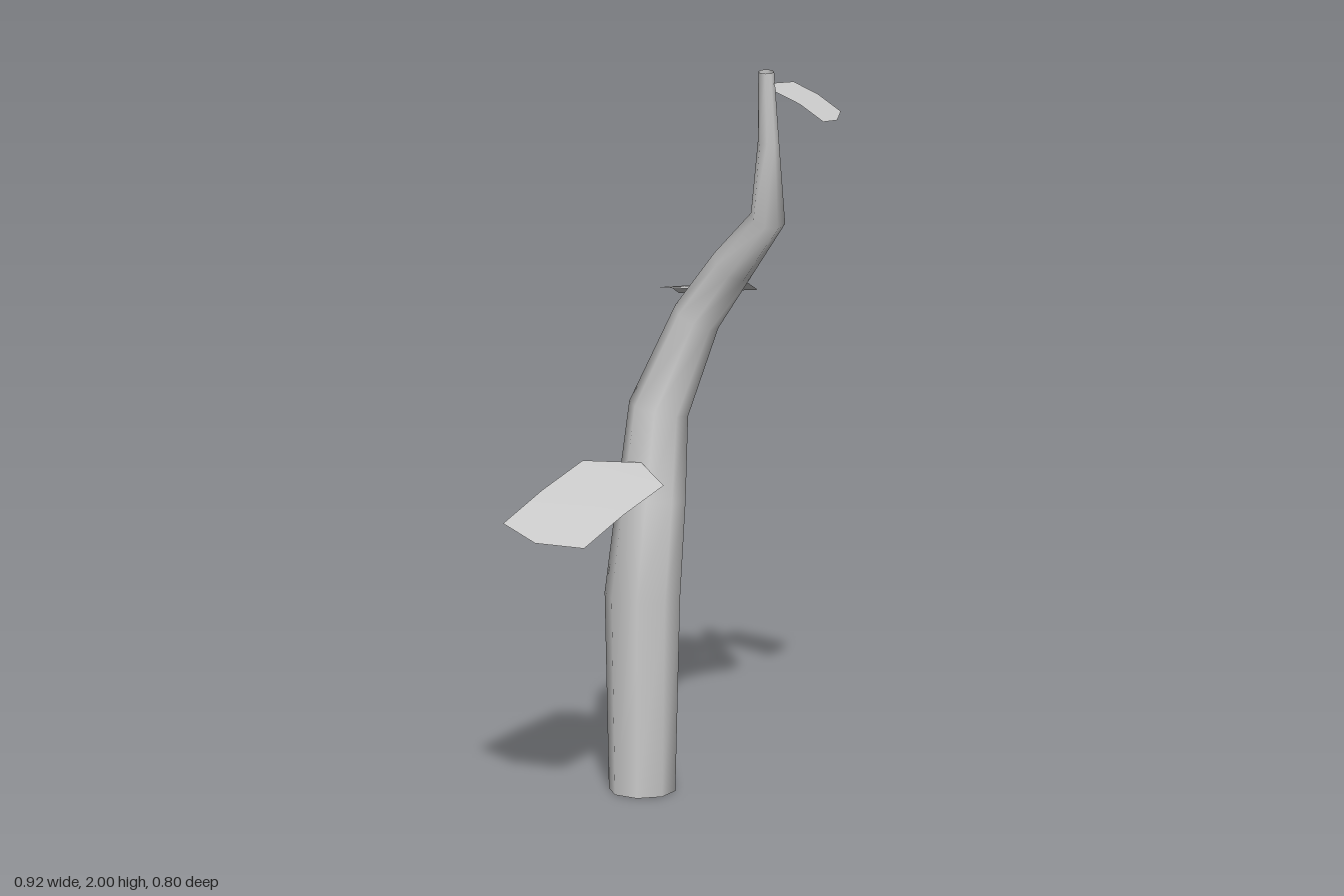
import * as THREE from 'three';

const material = new THREE.MeshStandardMaterial({ color: 0xcccccc, side: THREE.DoubleSide });

function makeMesh(name, positions, index) {
  const geometry = new THREE.BufferGeometry();
  geometry.setAttribute('position', new THREE.Float32BufferAttribute(positions, 3));
  geometry.setIndex(index);
  geometry.computeVertexNormals();
  const mesh = new THREE.Mesh(geometry, material);
  mesh.name = name;
  return mesh;
}

// Open, tapering eight-sided tube whose rings follow the bending stem
function makeStem() {
  // centre x, y, z and radius of each ring
  const rings = [
    [-0.013, 0, -0.116, 0.088],
    [-0.013, 0.53, -0.115, 0.1],
    [0.016, 0.79, -0.115, 0.091],
    [0.058, 1.02, -0.14, 0.08],
    [0.13, 1.275, -0.069, 0.064],
    [0.172, 1.434, 0.035, 0.058],
    [0.185, 1.588, 0.172, 0.047],
    [0.163, 1.81, 0.204, 0.028],
    [0.155, 2, 0.205, 0.021],
  ];
  const sides = 8;
  const up = new THREE.Vector3(0, 1, 0);
  const centres = rings.map(([x, y, z]) => new THREE.Vector3(x, y, z));
  const positions = [], index = [];
  rings.forEach((ring, i) => {
    const tangent = up.clone();
    if (i > 0 && i < rings.length - 1) {
      const before = centres[i].clone().sub(centres[i - 1]).normalize();
      const after = centres[i + 1].clone().sub(centres[i]).normalize();
      tangent.copy(before.add(after).normalize());
    }
    const turn = new THREE.Quaternion().setFromUnitVectors(up, tangent);
    for (let s = 0; s < sides; s++) {
      const a = (s / sides) * Math.PI * 2;
      const p = new THREE.Vector3(Math.sin(a), 0, Math.cos(a))
        .multiplyScalar(ring[3]).applyQuaternion(turn).add(centres[i]);
      positions.push(p.x, p.y, p.z);
      if (i > 0) {
        const n = (s + 1) % sides, lo = (i - 1) * sides, hi = i * sides;
        index.push(lo + s, lo + n, hi + n, lo + s, hi + n, hi + s);
      }
    }
  });
  return makeMesh('stem', positions, index);
}

// Thin six-cornered blade, drooping from root to tip; heights run along its length
function makeLeaf(name, root, tip, halfWidth, heights, roll) {
  const dx = tip[0] - root[0], dz = tip[1] - root[1], length = Math.hypot(dx, dz);
  const positions = [];
  const add = (t, side, y) => positions.push(
    root[0] + dx * t - (dz / length) * halfWidth * side,
    y + (roll * side) / 2,
    root[1] + dz * t + (dx / length) * halfWidth * side);
  add(0, 0, heights[0]);
  [0.17, 0.55, 0.92].forEach((t, i) => {
    add(t, -1, heights[i + 1]);
    add(t, 1, heights[i + 1]);
  });
  add(1, 0, heights[4]);
  const index = [0, 2, 1, 1, 2, 4, 1, 4, 3, 3, 4, 6, 3, 6, 5, 5, 6, 7];
  return makeMesh(name, positions, index);
}

export function createModel() {
  const plant = new THREE.Group();
  plant.name = 'plant';
  plant.add(
    makeStem(),
    makeLeaf('lowerLeaf', [-0.035, -0.09], [-0.463, 0.025], 0.136, [0.9, 0.888, 0.845, 0.79, 0.778], 0.02),
    makeLeaf('middleLeaf', [0.15, -0.105], [0.41, -0.348], 0.105, [1.338, 1.33, 1.295, 1.24, 1.235], 0.02),
    makeLeaf('upperLeaf', [0.165, 0.225], [0.255, 0.383], 0.056, [1.972, 1.965, 1.94, 1.9, 1.892], 0),
  );
  // Fix the lower leaf's sideways lean, which falls toward the back
  return plant;
}
